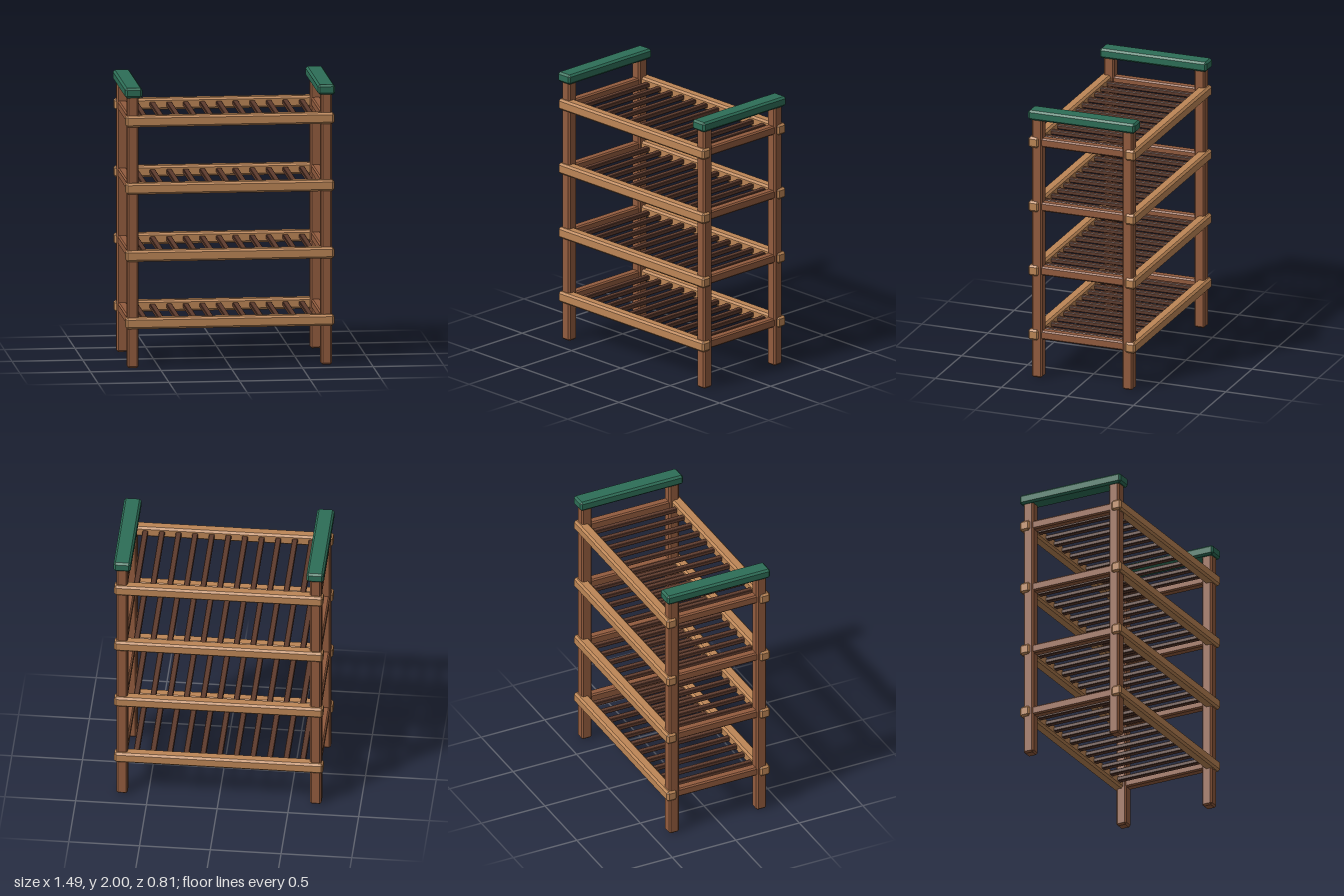
import * as THREE from 'three';
import { ConvexGeometry } from 'three/addons/geometries/ConvexGeometry.js';

const mat = (name, color) => {
  const m = new THREE.MeshStandardMaterial({ color });
  m.name = name;
  return m;
};

// Box with every edge chamfered by c
function chamferBox(w, h, d, c) {
  const points = [];
  for (const x of [-1, 1]) for (const y of [-1, 1]) for (const z of [-1, 1]) {
    const [a, b, e] = [w / 2, h / 2, d / 2];
    points.push(
      new THREE.Vector3(x * a, y * (b - c), z * (e - c)),
      new THREE.Vector3(x * (a - c), y * b, z * (e - c)),
      new THREE.Vector3(x * (a - c), y * (b - c), z * e));
  }
  return new ConvexGeometry(points);
}

export function createModel() {
  const model = new THREE.Group();
  model.name = 'slattedShelf';

  const postWood = mat('mid brown wood', 0x935c3e);
  const railWood = mat('light wood', 0xbd8656);
  const slatWood = mat('dark wood', 0x5e3b2d);
  const green = mat('green paint', 0x2d6e57);

  const postGeo = chamferBox(0.08, 1.95, 0.08, 0.012);
  const capGeo = chamferBox(0.122, 0.072, 0.81, 0.014);
  const railGeo = chamferBox(1.476, 0.08, 0.08, 0.014);
  const sideGeo = chamferBox(0.065, 0.065, 0.66, 0.01);
  const slatGeo = chamferBox(0.04, 0.03, 0.68, 0.004);

  const add = (parent, name, geo, material, x, y, z) => {
    const mesh = new THREE.Mesh(geo, material);
    mesh.name = name;
    mesh.position.set(x, y, z);
    parent.add(mesh);
  };

  // Corner posts and the green caps joining each pair
  for (const s of [-1, 1]) {
    for (const t of [-1, 1]) add(model, 'post', postGeo, postWood, s * 0.685, 0.975, t * 0.343);
    add(model, 'topCap', capGeo, green, s * 0.682, 1.964, 0);
  }

  // Four identical shelves
  for (let i = 0; i < 4; i++) {
    const shelf = new THREE.Group();
    shelf.name = 'shelf';
    shelf.position.y = 0.32 + i * 0.48;
    for (const s of [-1, 1]) {
      add(shelf, 'longRail', railGeo, railWood, 0, 0, s * 0.366);
      add(shelf, 'sideRail', sideGeo, postWood, s * 0.685, 0, 0);
    }
    for (let k = -5; k <= 5; k++) add(shelf, 'slat', slatGeo, slatWood, k * 0.1175, 0, 0);
    model.add(shelf);
  }
  return model;
}
